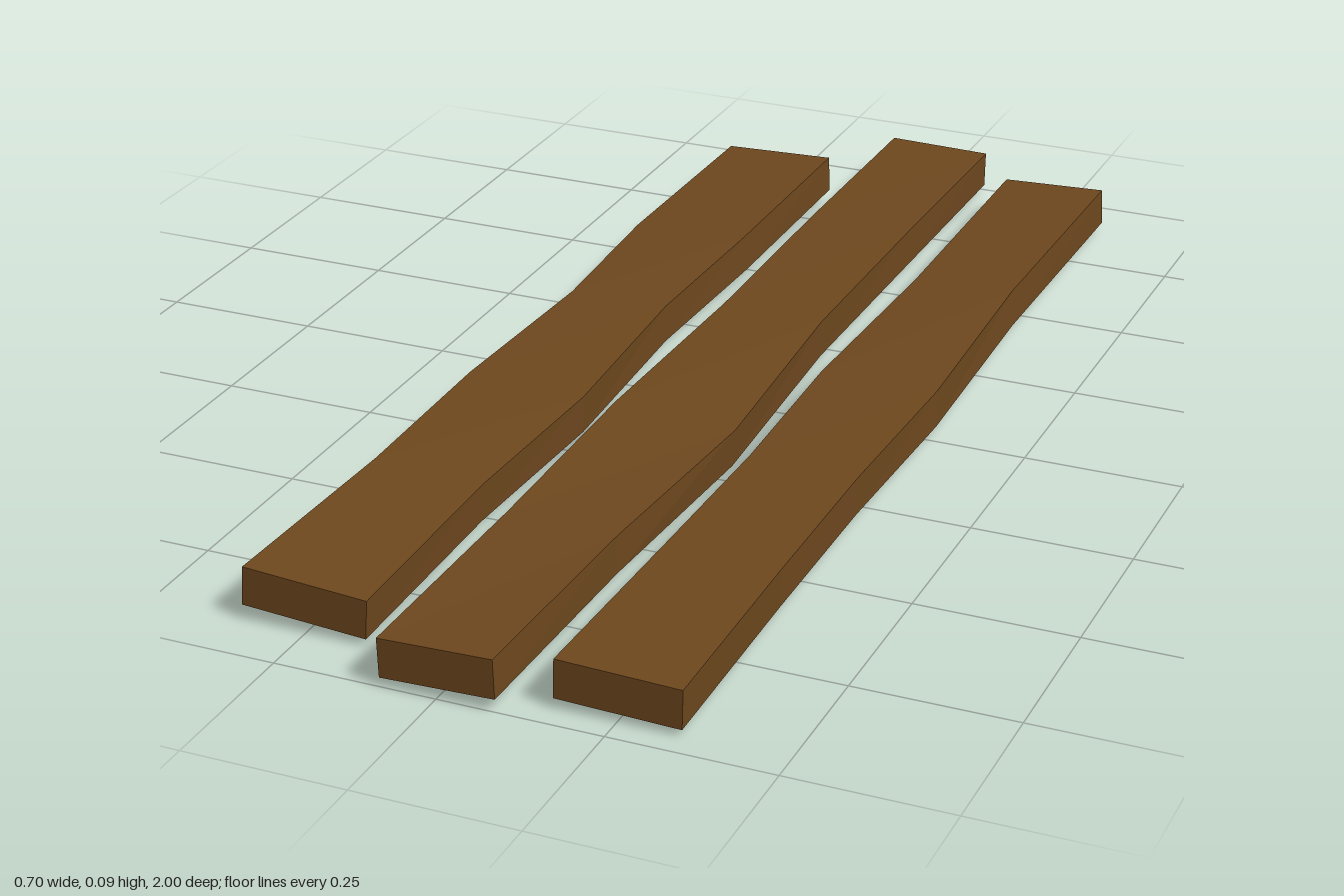
import * as THREE from 'three';

const THICKNESS = 0.061;

// Each section runs back to front: [z, left-hand x, right-hand x, centre height, twist]
const PLANKS = {
  rightPlank: [
    [-0.85, -0.345, -0.155, 0.047, 0.035],
    [-0.45, -0.35, -0.152, 0.049, 0.05],
    [-0.15, -0.334, -0.167, 0.046, 0.01],
    [0.2, -0.348, -0.152, 0.045, -0.03],
    [0.53, -0.339, -0.162, 0.048, -0.05],
    [0.91, -0.348, -0.152, 0.05, -0.067],
  ],
  middlePlank: [
    [-1, -0.088, 0.088, 0.043, -0.02],
    [-0.6, -0.089, 0.089, 0.046, 0.01],
    [-0.2, -0.085, 0.085, 0.045, -0.02],
    [0.2, -0.098, 0.1, 0.039, -0.07],
    [0.6, -0.088, 0.088, 0.045, -0.01],
    [1, -0.087, 0.088, 0.049, 0.03],
  ],
  leftPlank: [
    [-0.9, 0.163, 0.339, 0.044, 0.04],
    [-0.42, 0.167, 0.336, 0.046, 0.05],
    [-0.02, 0.157, 0.348, 0.047, 0],
    [0.3, 0.167, 0.339, 0.047, -0.02],
    [0.6, 0.163, 0.34, 0.046, -0.03],
    [0.96, 0.157, 0.346, 0.045, -0.03],
  ],
};

// A segmented box whose cross-sections are widened, raised and twisted
function warpedPlank(sections) {
  const n = sections.length - 1;
  const geometry = new THREE.BoxGeometry(1, 1, 1, 1, 1, n);
  const pos = geometry.attributes.position;
  for (let i = 0; i < pos.count; i++) {
    const [z, x0, x1, height, twist] = sections[Math.round((pos.getZ(i) + 0.5) * n)];
    const u = pos.getX(i) * (x1 - x0);
    const v = pos.getY(i) * THICKNESS;
    pos.setXYZ(
      i,
      (x0 + x1) / 2 + u * Math.cos(twist) - v * Math.sin(twist),
      height + u * Math.sin(twist) + v * Math.cos(twist),
      z
    );
  }
  geometry.computeVertexNormals();
  return geometry;
}

export function createModel() {
  const group = new THREE.Group();
  group.name = 'woodenPlanks';
  const wood = new THREE.MeshStandardMaterial({ color: 0x6e481e, flatShading: true });
  for (const [name, sections] of Object.entries(PLANKS)) {
    const plank = new THREE.Mesh(warpedPlank(sections), wood);
    plank.name = name;
    group.add(plank);
  }
  return group;
}
